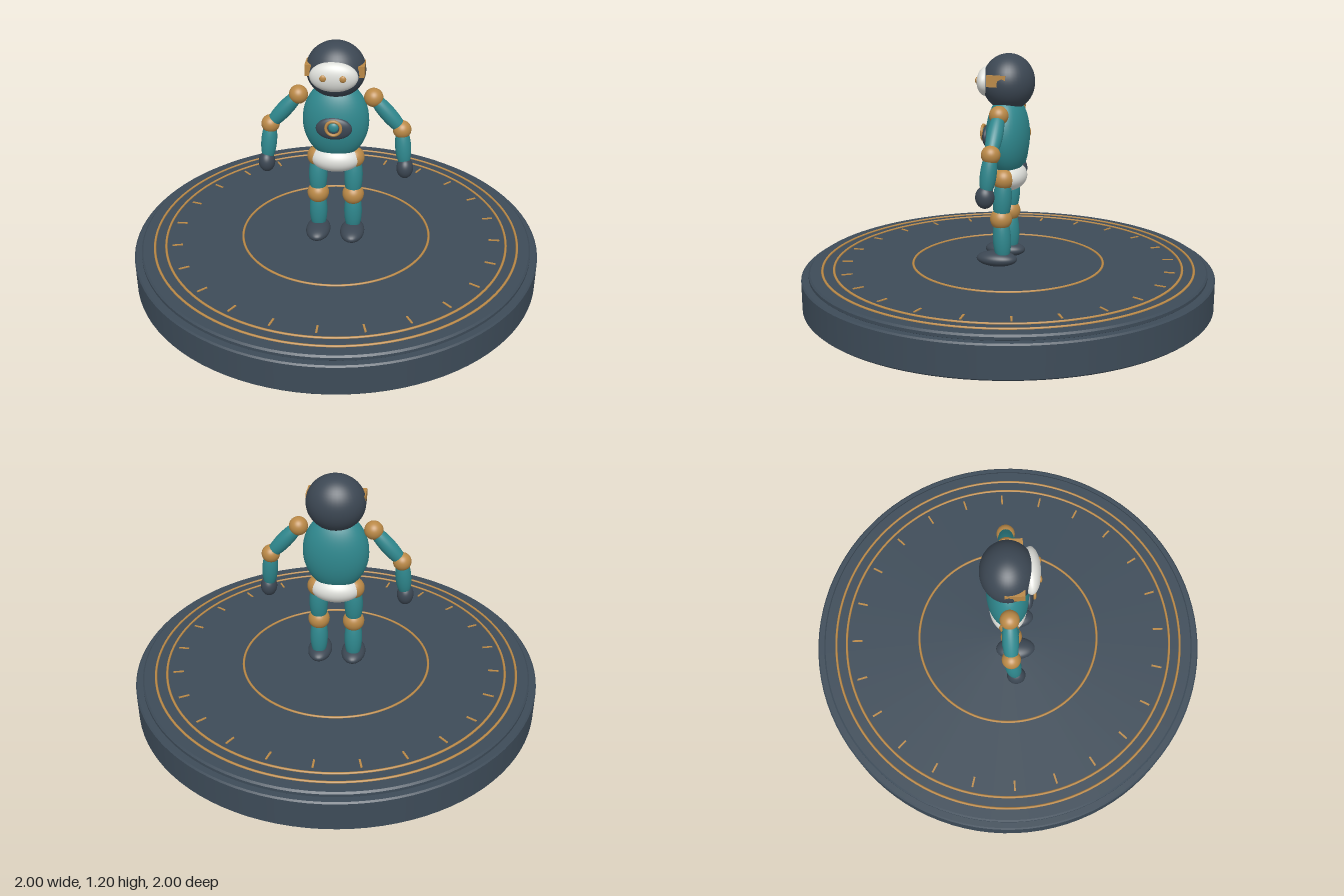
import * as THREE from 'three';

const mat = (name, color) => {
  const m = new THREE.MeshStandardMaterial({ color });
  m.name = name;
  return m;
};

export function createModel() {
  const slate = mat('slate', 0x3d4b58);
  const charcoal = mat('charcoal', 0x3c4753);
  const teal = mat('teal', 0x2f888e);
  const gold = mat('gold', 0xba8947);
  const ivory = mat('ivory', 0xdedfda);

  const model = new THREE.Group();
  model.name = 'robotOnPlinth';
  const V = (x, y, z) => new THREE.Vector3(x, y, z);

  const add = (parent, name, geometry, material, pos = [0, 0, 0]) => {
    const mesh = new THREE.Mesh(geometry, material);
    mesh.name = name;
    mesh.position.set(...pos);
    parent.add(mesh);
    return mesh;
  };
  const ellipsoid = (parent, name, material, pos, radii) =>
    add(parent, name, new THREE.SphereGeometry(1, 40, 28).scale(...radii), material, pos);

  // Barrel-shaped limb segment between two joints
  const limb = (parent, name, a, b, radius) => {
    const length = a.distanceTo(b);
    const profile = [];
    for (let i = 0; i <= 12; i++) {
      const t = i / 12 - 0.5;
      profile.push(new THREE.Vector2(radius * Math.sqrt(1 - 2.4 * t * t), t * length));
    }
    const mesh = add(parent, name, new THREE.LatheGeometry(profile, 28), teal);
    mesh.position.copy(a).lerp(b, 0.5);
    mesh.quaternion.setFromUnitVectors(V(0, 1, 0), b.clone().sub(a).normalize());
  };

  // Plinth: two steps with small bevels
  const plinth = new THREE.Group();
  plinth.name = 'plinth';
  model.add(plinth);
  const disc = (name, r, y0, y1, bevel) => {
    const points = [[0, y0], [r - bevel, y0], [r - bevel, y0], [r, y0 + bevel], [r, y0 + bevel],
      [r, y1 - bevel], [r, y1 - bevel], [r - bevel, y1], [r - bevel, y1], [0, y1]];
    add(plinth, name, new THREE.LatheGeometry(points.map(p => new THREE.Vector2(...p)), 96), slate);
  };
  disc('plinthBase', 1, 0, 0.157, 0.007);
  disc('plinthTop', 0.965, 0.15, 0.18, 0.008);

  // Inlaid rings and dial ticks
  for (const r of [0.9, 0.845, 0.465]) {
    add(plinth, 'inlayRing', new THREE.TorusGeometry(r, 0.006, 8, 120).rotateX(Math.PI / 2), gold, [0, 0.181, 0]);
  }
  for (let i = 0; i < 24; i++) {
    const tick = new THREE.BoxGeometry(0.009, 0.006, 0.052).translate(0, 0.181, 0.789);
    add(plinth, 'dialTick', tick.rotateY(i * Math.PI / 12), gold);
  }

  const robot = new THREE.Group();
  robot.name = 'robot';
  model.add(robot);

  // Head and face
  ellipsoid(robot, 'head', charcoal, [0, 1.065, -0.003], [0.14, 0.135, 0.125]);
  ellipsoid(robot, 'facePlate', ivory, [0, 1.067, 0.1], [0.112, 0.072, 0.045]);

  // Body
  ellipsoid(robot, 'torso', teal, [0, 0.81, 0], [0.158, 0.2, 0.102]);
  ellipsoid(robot, 'pelvis', ivory, [0, 0.612, 0], [0.127, 0.071, 0.091]);

  // Chest badge
  ellipsoid(robot, 'chestBadge', charcoal, [0, 0.805, 0.095], [0.085, 0.056, 0.024]);
  add(robot, 'chestRing', new THREE.TorusGeometry(0.035, 0.007, 12, 40), gold, [0, 0.818, 0.122]);
  ellipsoid(robot, 'chestLens', teal, [0, 0.818, 0.112], [0.025, 0.025, 0.014]);

  for (const [side, s] of [['left', 1], ['right', -1]]) {
    const half = new THREE.Group();
    half.name = side + 'Side';
    robot.add(half);
    const ball = (name, p, r) => ellipsoid(half, name, gold, p.toArray(), [r, r, r]);

    // Eye and ear
    ellipsoid(half, 'eye', gold, [s * 0.045, 1.073, 0.14], [0.016, 0.016, 0.008]);
    add(half, 'earPlate', new THREE.BoxGeometry(0.03, 0.054, 0.09), gold, [s * 0.122, 1.081, 0.025]);

    // Arm
    const shoulder = V(s * 0.177, 0.93, 0);
    const elbow = V(s * 0.314, 0.772, 0.002);
    const wrist = V(s * 0.33, 0.6, 0.02);
    ball('shoulder', shoulder, 0.045);
    limb(half, 'upperArm', shoulder, elbow, 0.038);
    ball('elbow', elbow, 0.044);
    limb(half, 'forearm', elbow, wrist, 0.038);
    ellipsoid(half, 'hand', charcoal, [s * 0.334, 0.58, 0.025], [0.04, 0.052, 0.044]);

    // Leg
    const hip = V(s * 0.087, 0.612, 0);
    const knee = V(s * 0.086, 0.416, 0.013);
    const ankle = V(s * 0.086, 0.22, 0.005);
    ball('hip', hip, 0.052);
    limb(half, 'thigh', hip, knee, 0.045);
    ball('knee', knee, 0.053);
    limb(half, 'shin', knee, ankle, 0.044);
    ellipsoid(half, 'foot', charcoal, [s * 0.085, 0.216, 0.035], [0.06, 0.037, 0.1]);
  }
  return model;
}
